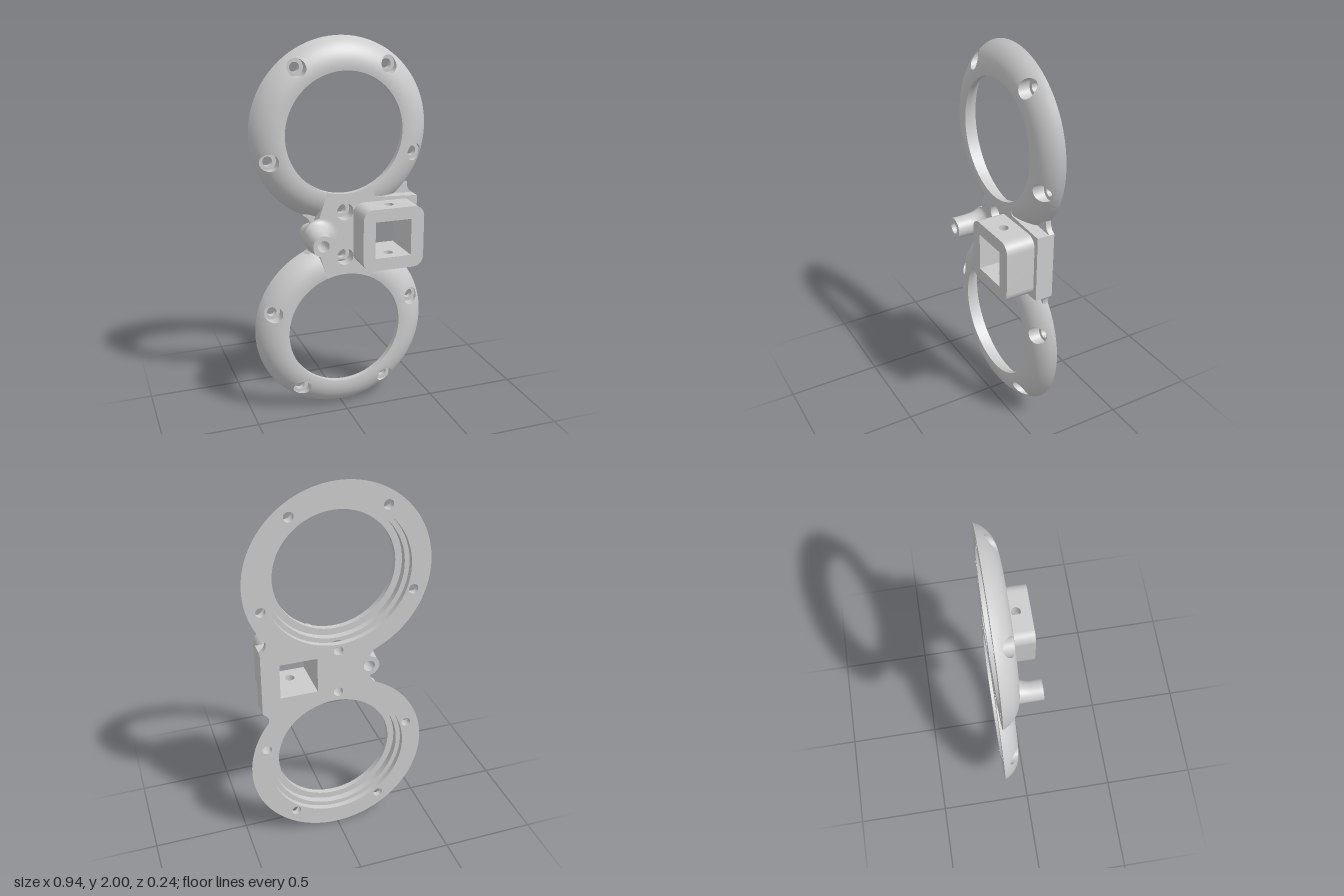
import * as THREE from 'three';
import { mergeGeometries, toCreasedNormals } from 'three/addons/utils/BufferGeometryUtils.js';

const BACK = -0.124, FACE = -0.031, TIP = 0.12;     // z levels
const CY = 0.528, R_IN = 0.31, R_OUT = 0.472;       // ring centre offset and radii
const HOLE_R = 0.406, FLOOR = -0.095, BORE = 0.025, HEAD = 0.045; // screw holes
const deg = Math.PI / 180, K = 14, HALF = 0.14;     // samples per patch side, patch half angle
const material = new THREE.MeshStandardMaterial({ color: 0xcccccc });
const V2 = (x, y) => new THREE.Vector2(x, y);
const lerp = THREE.MathUtils.lerp;

// Smooth shading with sharp edges (scaled up so that small details stay distinct)
function part(name, geo) {
  geo.scale(100, 100, 100);
  const g = toCreasedNormals(geo, 35 * deg);
  g.scale(0.01, 0.01, 0.01);
  const mesh = new THREE.Mesh(g, material);
  mesh.name = name;
  return mesh;
}

function bare(geo) {
  geo.deleteAttribute('uv');
  geo.deleteAttribute('normal');
  return geo;
}

// Lathe about z; angles run counterclockwise from straight down
function latheZ(points, steps, from = 0, span = Math.PI * 2) {
  return bare(new THREE.LatheGeometry(points, steps, from, span).rotateX(Math.PI / 2));
}

function extrude(shape, z0, z1) {
  return new THREE.ExtrudeGeometry(shape, { depth: z1 - z0, bevelEnabled: false, curveSegments: 16 }).translate(0, 0, z0);
}

function circleHole(x, y, r) {
  return new THREE.Path().absarc(x, y, r, 0, Math.PI * 2, true);
}

// Rounded ring surface height
const crown = r => -0.18 + Math.sqrt(Math.max(0, 0.0225 - (r - 0.333) ** 2));
const polar = (r, a, z) => [r * Math.sin(a), -r * Math.cos(a), z];

// Piece of ring with a counterbored screw hole, from front to back
function screwPatch() {
  const perimeter = rMin => {
    const c = [[-HALF, R_OUT], [HALF, R_OUT], [HALF, rMin], [-HALF, rMin]], out = [];
    for (let s = 0; s < 4; s++)
      for (let k = 0; k < K; k++)
        out.push([0, 1].map(i => lerp(c[s][i], c[(s + 1) % 4][i], k / K)));
    return out;
  };
  const front = perimeter(R_IN), rear = perimeter(0.37);
  // Polar position on a circle around the screw axis
  const circle = (i, rho) => {
    const [x, y] = polar(front[i][1], front[i][0], 0);
    const l = Math.hypot(x, y + HOLE_R);
    const px = rho * x / l, py = -HOLE_R + rho * (y + HOLE_R) / l;
    return [Math.atan2(px, -py), Math.hypot(px, py)];
  };
  const rows = [];
  for (let t = 0; t <= 6; t++) rows.push(i => {
    const c = circle(i, HEAD), r = lerp(front[i][1], c[1], t / 6);
    return polar(r, lerp(front[i][0], c[0], t / 6), crown(r));
  });
  for (const [rho, z] of [[HEAD, FLOOR], [BORE, FLOOR], [BORE, BACK]])
    rows.push(i => { const c = circle(i, rho); return polar(c[1], c[0], z); });
  rows.push(i => polar(rear[i][1], rear[i][0], BACK));

  const n = front.length, pos = [], idx = [];
  rows.forEach((row, j) => {
    for (let i = 0; i < n; i++) {
      pos.push(...row(i));
      if (j === rows.length - 1) continue;
      const a = j * n + i, b = j * n + (i + 1) % n;
      idx.push(a, b, a + n, b, b + n, a + n);
    }
  });
  const g = new THREE.BufferGeometry();
  g.setAttribute('position', new THREE.Float32BufferAttribute(pos, 3));
  g.setIndex(idx);
  return g;
}

// Open ring: plain lathe stretches between the screw patches
function ringGeometry() {
  const steps = [V2(R_IN, crown(R_IN)), V2(R_IN, -0.06), V2(0.345, -0.06), V2(0.345, FLOOR), V2(0.37, FLOOR), V2(0.37, BACK)];
  const profile = [V2(0.37, BACK)];
  for (let k = 0; k <= K; k++) {
    const r = lerp(R_OUT, R_IN, k / K);
    profile.push(V2(r, k ? crown(r) : BACK));
  }
  profile.push(...steps.slice(1));
  const pieces = [];
  let from = 26 * deg;
  for (const h of [72, 144, 216, 288, null]) {
    const to = h === null ? 342 * deg : h * deg - HALF;
    pieces.push(latheZ(profile, Math.ceil((to - from) / 0.045), from, to - from));
    if (h === null) break;
    pieces.push(screwPatch().rotateZ(h * deg), latheZ(steps, K, to, 2 * HALF));
    from = h * deg + HALF;
  }
  return mergeGeometries(pieces).translate(0, CY, 0);
}

function mirrorY(geo) {
  const g = geo.clone().scale(1, -1, 1);
  g.index.array.reverse();
  return g;
}

// One layer of the plate that joins the rings
function webLayer(z0, z1, arcR, screwR, wide) {
  const at = (r, a) => V2(r * Math.sin(a * deg), CY - r * Math.cos(a * deg));
  const half = [V2(0.4, 0.175)];
  if (wide) half.push(V2(0.38, 0.19), V2(0.37, 0.21), V2(0.369, 0.235), V2(0.31, 0.2));
  half.push(at(0.38, 26));
  for (let a = 26; a >= -18; a -= 2) half.push(at(arcR, a));
  if (wide) {
    half.push(at(0.42, -18));
    half.push(...new THREE.QuadraticBezierCurve(V2(-0.203, 0.102), V2(-0.165, 0.08), V2(-0.17, 0.046)).getPoints(8));
  } else half.push(at(R_OUT, -18));
  for (let a = 95; a > 0; a -= 10) half.push(V2(-0.165 + 0.045 * Math.cos(a * deg), 0.045 * Math.sin(a * deg)));
  const shape = new THREE.Shape([...half, ...half.map(p => V2(p.x, -p.y)).reverse()]);
  for (const s of [1, -1]) shape.holes.push(circleHole(0, s * (CY - HOLE_R), screwR));
  shape.holes.push(new THREE.Path([V2(0.11, -0.097), V2(0.11, 0.097), V2(0.305, 0.097), V2(0.305, -0.097)]));
  return extrude(shape, z0, z1);
}

// Hollow post whose foot flares out towards the plate
function postGeometry() {
  const pts = [V2(0.03, TIP), V2(0.03, BACK), V2(0.055, BACK), V2(0.055, -0.1), V2(0.125, -0.04)];
  for (let i = 0; i <= 12; i++) {
    const t = (1 - i / 12) * Math.PI / 2;
    pts.push(V2(0.125 - 0.07 * Math.cos(t), 0.065 - 0.096 * Math.sin(t)));
  }
  pts.push(V2(0.055, TIP), V2(0.03, TIP));
  const g = latheZ(pts, 48), p = g.attributes.position;
  for (let i = 0; i < p.count; i++) {
    const x = p.getX(i), y = p.getY(i), r = Math.hypot(x, y);
    if (r <= 0.055) continue;
    const k = (0.055 + (r - 0.055) * (1 + x / r) / 2) / r;
    p.setXY(i, x * k, y * k);
  }
  return g.translate(-0.165, 0, 0);
}

// Square socket: rounded side walls, drilled top and bottom walls
function socket() {
  const group = new THREE.Group(), H = 0.163, c = 0.055;
  group.name = 'squareSocket';
  const side = (inner, outer) => {
    const d = Math.sign(outer - inner);
    const s = new THREE.Shape().moveTo(inner, -H).lineTo(outer - d * c, -H);
    s.absarc(outer - d * c, -H + c, c, -Math.PI / 2, d > 0 ? 0 : -Math.PI, d < 0);
    s.lineTo(outer, H - c);
    s.absarc(outer - d * c, H - c, c, d > 0 ? 0 : Math.PI, Math.PI / 2, d < 0);
    s.lineTo(inner, H);
    return extrude(s, FACE - 0.01, TIP);
  };
  group.add(part('socketRightWall', side(0.11, 0.045)), part('socketLeftWall', side(0.305, 0.375)));
  // Wall outline is drawn in x and -z, then turned upright
  const z0 = -TIP, z1 = -FACE;
  const wall = new THREE.Shape([V2(0.11, z0), V2(0.305, z0), V2(0.305, z1), V2(0.11, z1)]);
  wall.holes.push(circleHole(0.21, -0.043, BORE));
  for (const [name, y] of [['socketTopWall', 0.097], ['socketBottomWall', -H]])
    group.add(part(name, extrude(wall, 0, H - 0.097).rotateX(-Math.PI / 2).translate(0, y, 0)));
  return group;
}

export function createModel() {
  const model = new THREE.Group();
  model.name = 'doubleRingBracket';
  const ring = ringGeometry();
  model.add(part('lowerRing', mirrorY(ring)), part('upperRing', ring));
  model.add(
    part('webBack', webLayer(BACK, FLOOR, 0.37, BORE, true)),
    part('webMiddle', webLayer(FLOOR, -0.06, 0.345, HEAD, false)),
    part('webFront', webLayer(-0.06, FACE, R_IN, HEAD, false)),
    part('hollowPost', postGeometry()),
    socket()
  );
  model.children.forEach(o => { o.position.y = 1; });
  return model;
}
